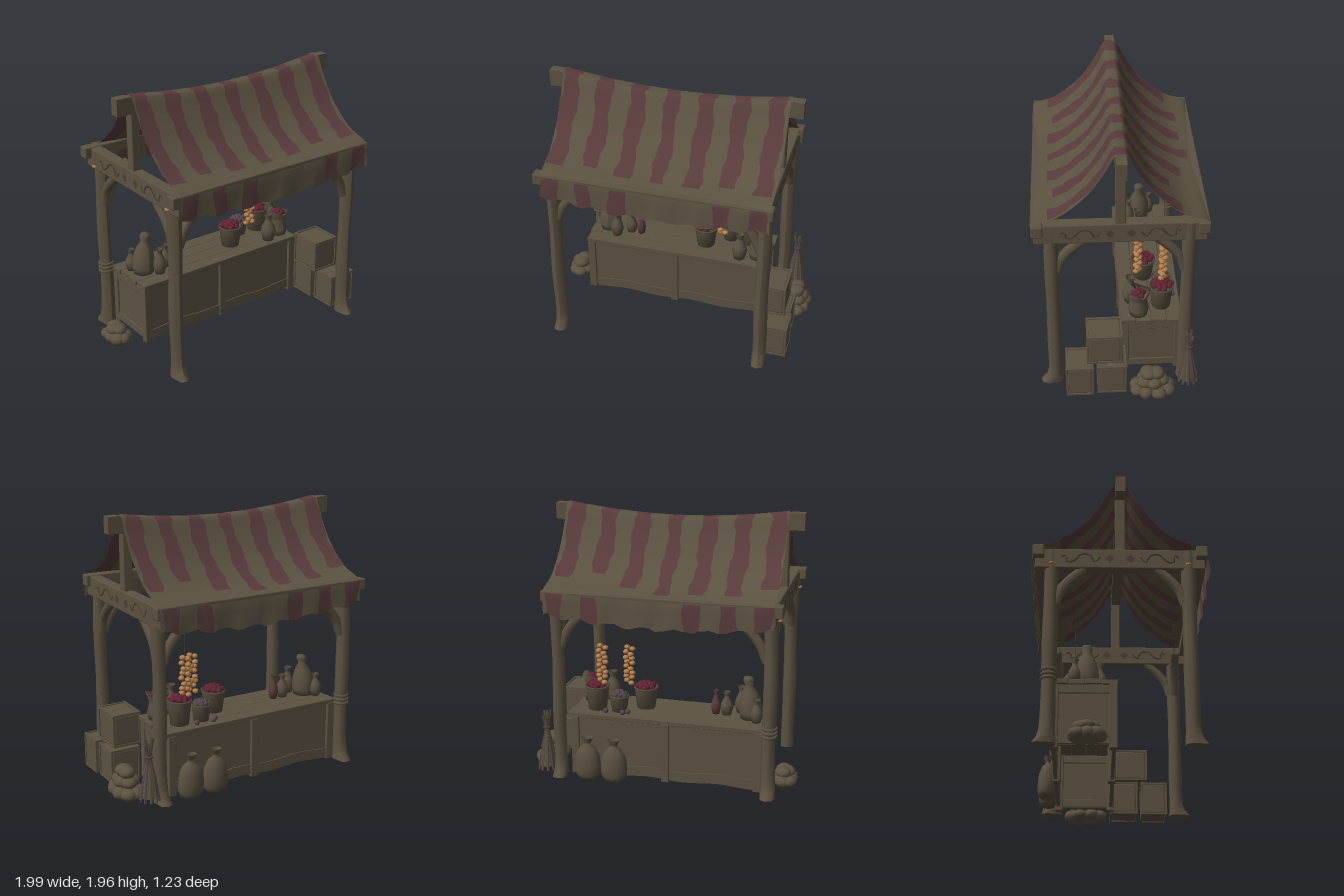
import * as THREE from 'three';
import { RoundedBoxGeometry } from 'three/addons/geometries/RoundedBoxGeometry.js';

const mat = (name, color, side = THREE.FrontSide) => {
  const m = new THREE.MeshStandardMaterial({ color, side });
  m.name = name;
  return m;
};

export function createModel() {
  const root = new THREE.Group();
  root.name = 'marketStall';
  const wood = mat('wood', 0x5b5241);
  const canvas = mat('canvas', 0x5b5241, THREE.DoubleSide);
  const stripe = mat('stripeRed', 0x583b3b, THREE.DoubleSide);
  const clay = mat('clay', 0x595040, THREE.DoubleSide);
  const carving = mat('carving', 0x484032);
  const apple = mat('appleRed', 0x5f2434);
  const onion = mat('onionOrange', 0xb57f4c);
  const plum = mat('plumGrey', 0x54464a);
  const stone = mat('stone', 0x5b5241);
  const V = (x, y, z) => new THREE.Vector3(x, y, z);
  let seed = 7;
  const rnd = () => (seed = (seed * 16807) % 2147483647) / 2147483647;

  const add = (name, geo, m, x = 0, y = 0, z = 0) => {
    const o = new THREE.Mesh(geo, m);
    o.name = name;
    o.position.set(x, y, z);
    root.add(o);
    return o;
  };
  const box = (name, w, h, d, x, y, z) =>
    add(name, new RoundedBoxGeometry(w, h, d, 1, Math.min(w, h, d) * 0.12), wood, x, y, z);
  // Move every vertex of a geometry by a rule
  const warp = (geo, rule) => {
    const p = geo.attributes.position, v = V(0, 0, 0);
    for (let i = 0; i < p.count; i++) {
      v.fromBufferAttribute(p, i);
      rule(v);
      p.setXYZ(i, v.x, v.y, v.z);
    }
    geo.computeVertexNormals();
    return geo;
  };
  const lathe = (name, pts, m, x, y, z) =>
    add(name, new THREE.LatheGeometry(pts.map(([r, h]) => new THREE.Vector2(r, h)), 14), m, x, y, z);
  const tube = (name, pts, r, m, x, y, z, sides = 6) =>
    add(name, new THREE.TubeGeometry(new THREE.CatmullRomCurve3(pts), 14, r, sides), m, x, y, z);

  // Frame: gnarled posts, braces and beams
  const XL = -0.81, XR = 0.728, ZP = 0.465;
  for (const x of [XL, XR]) {
    const inX = x < 0 ? 1 : -1;
    for (const s of [1, -1]) {
      const z = s * ZP;
      const geo = new THREE.CylinderGeometry(0.05, 0.05, 1.4, 8, 28);
      warp(geo, (v) => {
        const h = v.y + 0.7;
        const flare = 1 + 0.12 * Math.exp(-h * 20) + 0.04 * Math.sin(h * 9 + x * 5 + s);
        v.x = v.x * flare + 0.003 * Math.sin(h * 7 + s);
        v.z = v.z * flare + (v.z * s > 0 ? s * 0.055 * Math.exp(-h * 24) : 0);
      });
      add('post', geo, wood, x, 0.712, z);
      tube('braceAlongX', [V(0.03 * inX, -0.03, 0), V(0.07 * inX, 0.07, 0), V(0.125 * inX, 0.15, 0), V(0.23 * inX, 0.25, 0)],
        0.035, wood, x, 1.03, z);
      tube('braceAlongZ', [V(0, -0.03, -0.03 * s), V(0, 0.07, -0.06 * s), V(0, 0.15, -0.12 * s), V(0, 0.24, -0.22 * s)],
        0.035, wood, x, 1.04, z);
    }
    box('sideBeam', 0.085, 0.15, 1.16, x, 1.345, 0);
    box('ridgePost', 0.07, 0.46, 0.07, x, 1.63, 0);
    // Carved scrolls and diamonds on both faces of each side beam
    for (const f of [1, -1]) {
      for (const s of [1, -1]) {
        const scroll = [[0.4, 0.01], [0.37, 0.025], [0.36, -0.03], [0.31, -0.015], [0.27, 0.03], [0.21, 0.03], [0.17, -0.03], [0.14, 0.01]];
        tube('carvedScroll', scroll.map(([a, h]) => V(0, h, a * s)), 0.01, carving, x + f * 0.038, 1.345, 0, 5);
        const d = add('carvedDiamond', new THREE.BoxGeometry(0.008, 0.045, 0.045), carving, x + f * 0.04, 1.345, s * 0.07);
        d.rotation.x = Math.PI / 4;
      }
    }
  }
  for (const s of [1, -1]) {
    box('eaveBeam', 1.7, 0.085, 0.08, -0.05, 1.385, s * 0.555);
    // Pale cut end of the joining peg beside the beam
    add('pegEnd', new THREE.CylinderGeometry(0.019, 0.019, 0.009, 8), onion, XL - 0.05, 1.3, s * ZP);
  }
  const span = (x) => Math.max(0, 1 - ((x + 0.03) / 0.81) ** 2);
  add('ridgeBeam', warp(new THREE.BoxGeometry(1.82, 0.12, 0.07, 24, 1, 1).toNonIndexed(), (v) => {
    v.y -= 0.072 * span(v.x - 0.04);
  }), wood, -0.04, 1.887, 0);
  for (const y of [0.46, 0.49, 0.52]) {
    add('postRope', new THREE.TorusGeometry(0.05, 0.01, 6, 12), wood, XL, y, -ZP).rotation.x = Math.PI / 2;
  }

  // Striped awning: sagging cross-section swept over the ridge with hanging flaps
  const slope = new THREE.CatmullRomCurve3(
    [V(0, 1.958, 0), V(0, 1.95, 0.04), V(0, 1.84, 0.1), V(0, 1.685, 0.2), V(0, 1.572, 0.31), V(0, 1.487, 0.43), V(0, 1.445, 0.56), V(0, 1.42, 0.597)]).getPoints(26);
  // Where each stripe ends on the back and front slopes
  const backEnd = [0.41, 0.49, 0.47, 0.52, 0.45, 0.34, 0.41], frontEnd = [0.5, 0.44, 0.49, 0.5, 0.5, 0.44, 0.5];
  const cols = [[-0.84, -1]];
  for (let i = 0; i < 7; i++) {
    const c = -0.775 + 0.245 * i, w = i === 3 ? 0.05 : 0.058;
    cols.push([c - w, i], [c, i], [c + w, -1]);
    if (i < 6) cols.push([c + 0.12, -1]);
  }
  cols.push([0.78, -1]);
  const rows = [];
  for (const p of slope) rows.push({ y: p.y, z: p.z, sag: 0.02 + 0.05 * Math.max(0, 1 - p.z / 0.6) });
  for (const t of [0.33, 0.67, 1]) rows.push({ y: 1.42 - 0.155 * t, z: 0.597 + 0.008 * t, sag: 0.02 + 0.035 * t, flap: t });
  const full = rows.slice(1).reverse().map((r) => ({ ...r, z: -r.z })).concat(rows);
  const pos = [], plainIdx = [], stripeIdx = [];
  full.forEach((r, j) => cols.forEach(([x0, id], i) => {
    const edge = i === 0 || i === cols.length - 1;
    const x = edge ? x0 : x0 + 0.01 * Math.sin(j * 0.7 + i * 2.3) + 0.006 * Math.sin(j * 1.9 + i);
    const jag = r.flap === 1 ? 0.015 * Math.sin(i * 1.7 + j) : 0;
    const fold = r.flap ? 0.008 * Math.sin(i * 1.4) * r.flap : 0;
    pos.push(x, r.y - r.sag * span(x) + jag, r.z + fold);
    if (j === full.length - 1 || i === cols.length - 1) return;
    const n = cols.length, a = j * n + i, z = (r.z + full[j + 1].z) / 2;
    const flapRow = r.flap || full[j + 1].flap;
    const red = id >= 0 && (flapRow ? id < 3 || id > 4 : z < frontEnd[id] && z > -backEnd[id]);
    (red ? stripeIdx : plainIdx).push(a, a + n, a + 1, a + 1, a + n, a + n + 1);
  }));
  const cloth = new THREE.BufferGeometry();
  cloth.setAttribute('position', new THREE.Float32BufferAttribute(pos, 3));
  cloth.setIndex(plainIdx.concat(stripeIdx));
  cloth.addGroup(0, plainIdx.length, 0);
  cloth.addGroup(plainIdx.length, stripeIdx.length, 1);
  cloth.computeVertexNormals();
  add('awning', cloth, [canvas, stripe]);

  // Counter: plank top, legs, recessed panels and wavy rails
  for (let i = 0; i < 4; i++) box('counterPlank', 1.42 + 0.02 * (i % 2), 0.034, 0.108, -0.05, 0.471, -0.064 - i * 0.11);
  for (const [z, s] of [[-0.042, 1], [-0.425, -1]]) {
    for (const x of [-0.73, -0.055, 0.622]) box('counterLeg', 0.06, 0.45, 0.055, x, 0.237, z);
    const panel = warp(new THREE.BoxGeometry(1.34, 0.42, 0.016, 24, 2, 1), (v) => {
      if (v.y < -0.2) v.y += 0.012 * Math.sin(v.x * 13);
    });
    add('counterPanel', panel, wood, -0.055, 0.245, z);
    const rail = warp(new THREE.BoxGeometry(1.32, 0.075, 0.022, 24, 1, 1), (v) => { v.y += 0.008 * Math.sin(v.x * 12); });
    add('counterRail', rail, wood, -0.055, 0.07, z + s * 0.006);
  }
  for (const x of [-0.735, 0.625]) {
    box('counterSidePanel', 0.025, 0.42, 0.36, x, 0.245, -0.237);
    for (const y of [0.07, 0.42]) box('counterSideRail', 0.045, 0.06, 0.34, x, y, -0.237);
  }

  // Crates stacked beside the front post
  const crate = (x, y, z, w, h, d) => {
    box('crate', w - 0.006, h - 0.006, d - 0.006, x, y, z);
    for (const a of [1, -1]) for (const b of [1, -1]) {
      box('crateEdge', w, 0.015, 0.015, x, y + a * (h / 2 - 0.0075), z + b * (d / 2 - 0.0075));
      box('crateEdge', 0.015, h, 0.015, x + a * (w / 2 - 0.0075), y, z + b * (d / 2 - 0.0075));
      box('crateEdge', 0.015, 0.015, d, x + a * (w / 2 - 0.0075), y + b * (h / 2 - 0.0075), z);
    }
  };
  crate(0.8, 0.14, 0.295, 0.23, 0.255, 0.2);
  crate(0.785, 0.138, 0.065, 0.23, 0.25, 0.21);
  crate(0.755, 0.392, 0.115, 0.22, 0.245, 0.255);

  // Stone heaps at both ends
  const heap = (x, z, k, layers) => layers.forEach(([n, r, y]) => {
    for (let i = 0; i < n; i++) {
      const a = (i / n) * Math.PI * 2 + y * 9;
      const o = add('stone', new THREE.IcosahedronGeometry(0.054, 1), stone, x + Math.cos(a) * r * 0.6 * k, y, z + Math.sin(a) * r * k);
      o.scale.set(0.9 + rnd() * 0.3, 0.72 + rnd() * 0.2, 0.95 + rnd() * 0.35);
      o.rotation.y = rnd() * 3;
    }
  });
  heap(0.88, -0.225, 1, [[8, 0.11, 0.045], [3, 0.04, 0.05], [5, 0.065, 0.115], [2, 0.03, 0.18]]);
  heap(-0.895, -0.21, 0.8, [[7, 0.095, 0.045], [3, 0.045, 0.1]]);

  // Plump tied sacks behind the counter
  const sackShape = [[0, 0], [0.075, 0.004], [0.095, 0.04], [0.098, 0.1], [0.088, 0.18], [0.06, 0.235], [0.022, 0.262], [0.028, 0.28], [0.045, 0.315]];
  for (const x of [0.51, 0.31]) lathe('tiedSack', sackShape, clay, x, 0.015, -0.505).scale.z = 0.72;

  // Dried sheaf hanging on the back post: leafy skirt, tie and stalks
  lathe('sheafSkirt', [[0.064, 0], [0.05, 0.1], [0.03, 0.2], [0.012, 0.28]], clay, 0.825, 0.08, -0.487);
  for (let i = 0; i < 10; i++) {
    const a = (i / 10) * Math.PI * 2, c = Math.cos(a), s = Math.sin(a);
    tube('sheafStalk', [V(c * 0.03, 0.51 - 0.06 * rnd(), s * 0.03), V(c * 0.01, 0.37, s * 0.01), V(c * 0.038, 0.22, s * 0.038), V(c * 0.068, 0.05, s * 0.068)],
      0.01, i % 3 ? wood : plum, 0.825, 0, -0.487, 4);
  }
  add('sheafTie', new THREE.TorusGeometry(0.02, 0.01, 6, 10), stripe, 0.825, 0.37, -0.487).rotation.x = Math.PI / 2;

  // Jars and bottles on the counter
  const TOP = 0.488;
  const jar = (name, x, z, r, h, m) => lathe(name, [[0, 0], [r * 0.7, 0], [r, h * 0.3], [r * 0.85, h * 0.52], [r * 0.4, h * 0.75], [r * 0.38, h * 0.85], [r * 0.62, h], [r * 0.45, h * 0.98]], m, x, TOP, z);
  jar('smallJar', -0.69, -0.3, 0.045, 0.17, clay);
  jar('jar', -0.55, -0.13, 0.05, 0.2, clay);
  jar('jar', -0.455, -0.2, 0.047, 0.175, clay);
  jar('redBottle', -0.375, -0.2, 0.036, 0.18, stripe);
  jar('vase', 0.44, -0.09, 0.06, 0.22, clay);
  const bigSack = lathe('largeSack', [[0, 0], [0.075, 0], [0.085, 0.05], [0.078, 0.13], [0.055, 0.2], [0.028, 0.245], [0.04, 0.28], [0.032, 0.305], [0, 0.308]], clay, -0.635, TOP, -0.22);
  warp(bigSack.geometry, (v) => { v.x += 0.25 * v.y * v.y; });

  // Buckets, bowl and open sack filled with produce
  const fill = (name, x, y, z, r, n, m, size) => {
    for (let i = 0; i < n; i++) {
      const q = Math.sqrt((i + 0.5) / n), a = i * 2.4;
      add(name, new THREE.IcosahedronGeometry(size, 1), m, x + Math.cos(a) * q * r, y + (1 - q) * 0.03, z + Math.sin(a) * q * r);
    }
  };
  const bucket = (name, x, z, r, h, n, m, size) => {
    lathe(name, [[0, 0], [r * 0.78, 0], [r, h], [r * 1.06, h], [r * 1.06, h + 0.012], [r * 0.92, h + 0.012], [r * 0.88, h - 0.02], [0, h - 0.02]], clay, x, TOP, z);
    fill(name + 'Fill', x, TOP + h + 0.012, z, r * 0.78, n, m, size);
  };
  bucket('appleBucket', 0.15, -0.2, 0.086, 0.15, 16, apple, 0.023);
  bucket('appleBucket', 0.49, -0.31, 0.086, 0.17, 16, apple, 0.023);
  bucket('plumBowl', 0.32, -0.32, 0.07, 0.11, 14, plum, 0.019);
  const openSack = lathe('openSack', [[0, 0], [0.065, 0], [0.075, 0.05], [0.06, 0.12], [0.064, 0.15], [0.085, 0.195], [0.06, 0.16], [0, 0.155]], clay, 0.575, TOP, -0.14);
  warp(openSack.geometry, (v) => { if (v.y > 0.18) v.y += 0.014 * Math.sin(Math.atan2(v.z, v.x) * 3); });
  fill('sackApple', 0.575, TOP + 0.17, -0.14, 0.045, 9, apple, 0.02);
  for (const [x, z] of [[0.24, -0.38], [0.27, -0.41], [0.4, -0.4]]) add('loosePlum', new THREE.IcosahedronGeometry(0.02, 1), plum, x, TOP + 0.02, z);

  // Hanging onion strings
  for (const [x, z, y0, cord] of [[0.295, -0.15, 0.655, 0.94], [0.447, -0.32, 0.705, 1.53]]) {
    for (let i = 0; i < 8; i++) for (const s of [1, -1]) {
      const o = add('onion', new THREE.IcosahedronGeometry(0.023, 1), onion, x + s * 0.02 + 0.005 * Math.sin(i * 2.5), y0 + i * 0.037 + s * 0.006, z + 0.014 * Math.sin(i * 2 + s));
      o.scale.set(1, 0.8, 1);
    }
    add('onionCord', new THREE.CylinderGeometry(0.002, 0.002, cord - y0, 5), carving, x, (cord + y0) / 2, z);
  }
  return root;
}
